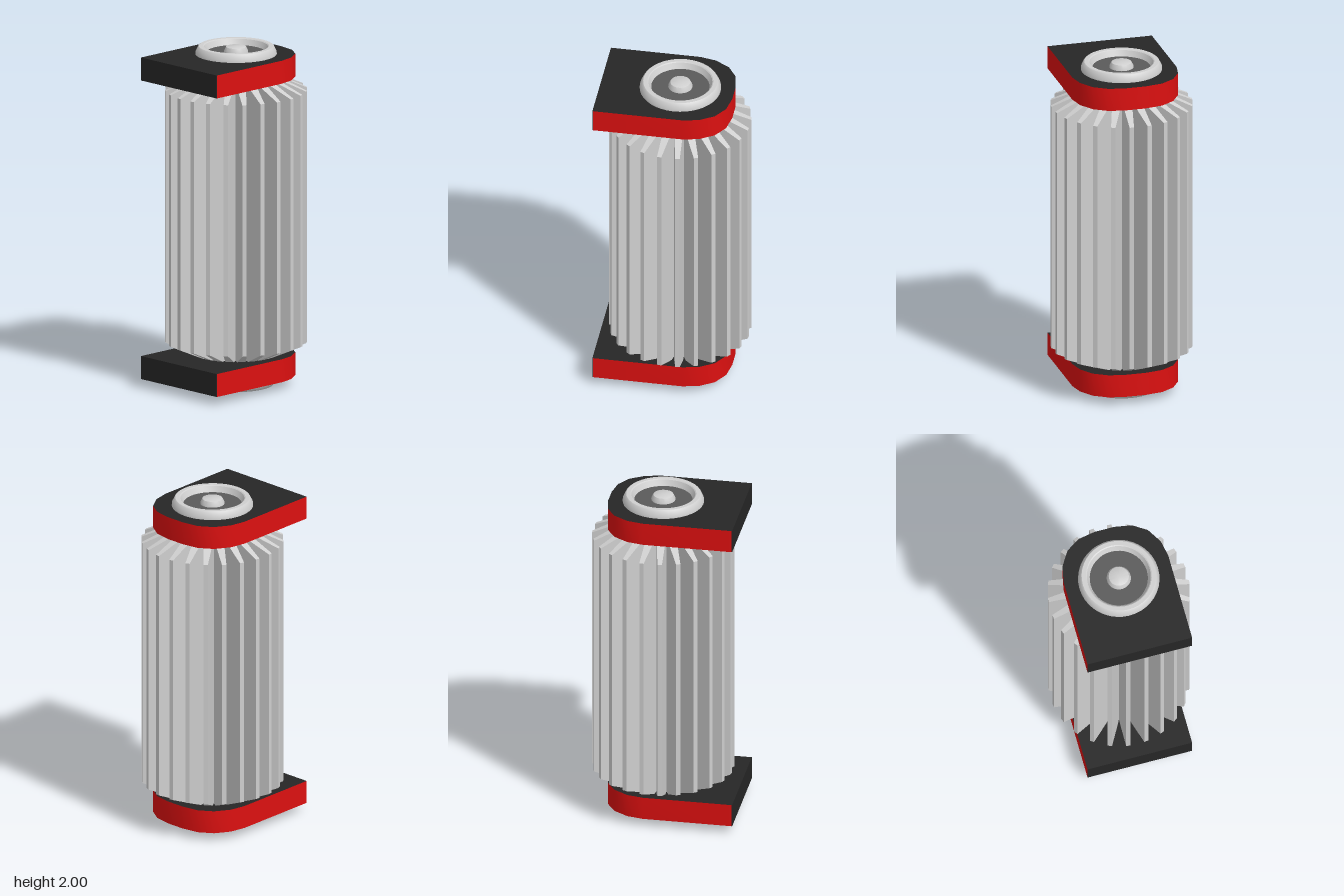
import * as THREE from 'three';
import { toCreasedNormals } from 'three/addons/utils/BufferGeometryUtils.js';

const AXIS_Z = -0.027;

const metal = new THREE.MeshStandardMaterial({ color: 0xcfcfcf });
metal.name = 'light metal';
const darkMetal = new THREE.MeshStandardMaterial({ color: 0x5a5a5a });
darkMetal.name = 'dark metal';
const black = new THREE.MeshStandardMaterial({ color: 0x262626 });
black.name = 'black';
const red = new THREE.MeshStandardMaterial({ color: 0xdc1010 });
red.name = 'red';

function addMesh(parent, name, geometry, material) {
  const mesh = new THREE.Mesh(geometry, material);
  mesh.name = name;
  parent.add(mesh);
  return mesh;
}

// Ring of tapered teeth with V-shaped valleys and sloping ends
function toothedDrumGeometry() {
  const teeth = 24, tipR = 0.41, rootR = 0.217;
  const tipY = 0.744, rootY = 0.83; // half heights
  const pitch = (Math.PI * 2) / teeth, tipHalf = 0.013 / tipR;
  const positions = [];
  const point = (r, angle, y) => [r * Math.sin(angle), y, r * Math.cos(angle)];
  const quad = (a, b, c, d) => positions.push(...a, ...b, ...c, ...a, ...c, ...d);

  for (let i = 0; i < teeth; i++) {
    const mid = (i + 0.5) * pitch;
    const section = (s) => [
      point(rootR, mid - pitch / 2, s * rootY),
      point(tipR, mid - tipHalf, s * tipY),
      point(tipR, mid + tipHalf, s * tipY),
      point(rootR, mid + pitch / 2, s * rootY),
    ];
    const low = section(-1), high = section(1);
    for (let k = 0; k < 3; k++) quad(low[k], low[k + 1], high[k + 1], high[k]);
    quad(high[1], high[2], high[3], high[0]);
    quad(low[0], low[3], low[2], low[1]);
  }
  const geometry = new THREE.BufferGeometry();
  geometry.setAttribute('position', new THREE.Float32BufferAttribute(positions, 3));
  geometry.computeVertexNormals();
  return geometry;
}

// Plate with a square front and a rounded back
function bracketGeometry(height) {
  const half = [[0.312, -0.43], [0.312, 0.09], [0.293, 0.185], [0.24, 0.27], [0.16, 0.322], [0.058, 0.34]];
  const mirrored = half.map(([x, y]) => [-x, y]).reverse();
  const shape = new THREE.Shape([...half, ...mirrored].map(([x, y]) => new THREE.Vector2(x, y)));
  const geometry = new THREE.ExtrudeGeometry(shape, { depth: height, bevelEnabled: false });
  geometry.rotateX(-Math.PI / 2);
  return toCreasedNormals(geometry, 0.6);
}

function lathe(points) {
  const profile = points.map(([r, y]) => new THREE.Vector2(r, y));
  return toCreasedNormals(new THREE.LatheGeometry(profile, 40), 0.5);
}

// End cap: bevelled rim, recessed floor and a small centre knob
function endCap(name) {
  const cap = new THREE.Group();
  cap.name = name;
  addMesh(cap, 'rim', lathe([
    [0.235, 0.95], [0.234, 0.965], [0.219, 0.996], [0.214, 1], [0.19, 1], [0.184, 0.996], [0.167, 0.962],
  ]), metal);
  const floor = addMesh(cap, 'recessedFloor', new THREE.CircleGeometry(0.17, 40), darkMetal);
  floor.rotation.x = -Math.PI / 2;
  floor.position.y = 0.963;
  addMesh(cap, 'knob', lathe([[0.071, 0.955], [0.069, 0.972], [0.058, 0.994], [0.054, 0.996], [0, 0.996]]), metal);
  return cap;
}

export function createModel() {
  const model = new THREE.Group();
  model.name = 'toothedRoller';

  const drum = addMesh(model, 'toothedDrum', toothedDrumGeometry(), metal);
  drum.position.set(0, 1, AXIS_Z);

  // Brackets: black faces, red edge, black front
  const height = 0.136;
  for (const [name, y] of [['bottomBracket', 0.05], ['topBracket', 1.814 + 0.003]]) {
    const bracket = new THREE.Group();
    bracket.name = name;
    bracket.position.y = y;
    addMesh(bracket, 'plate', bracketGeometry(height), [black, red]);
    const front = addMesh(bracket, 'frontFace', new THREE.BoxGeometry(0.624, height, 0.003), black);
    front.position.set(0, height / 2, 0.4315);
    model.add(bracket);
  }

  // Matching caps on both ends of the axis
  for (const [name, turn] of [['topCap', 0], ['bottomCap', Math.PI]]) {
    const cap = endCap(name);
    cap.position.set(0, 1, AXIS_Z);
    cap.rotation.x = turn;
    model.add(cap);
  }
  return model;
}
